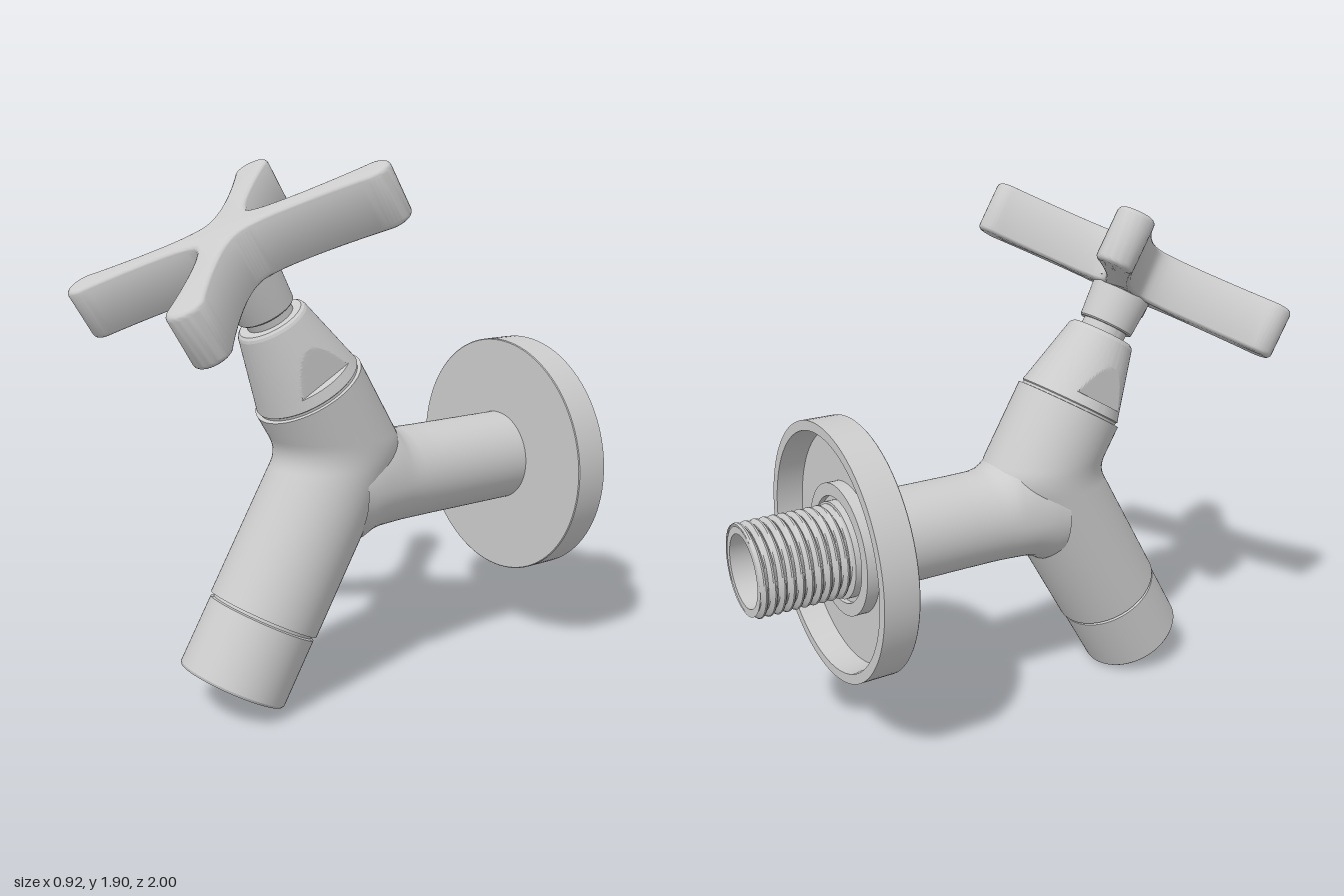
import * as THREE from 'three';
import { toCreasedNormals } from 'three/addons/utils/BufferGeometryUtils.js';

const V = (x, y, z) => new THREE.Vector3(x, y, z);
const material = new THREE.MeshStandardMaterial({ color: 0xcccccc, side: THREE.DoubleSide });
const SEG = 64;
const PIPE_Y = 0.765;
const JOINT = V(0, 0.907, 0.165); // where the spout and bonnet axes cross
const TILT = Math.PI / 6;

function part(name, geometry, crease = 0.5) {
  const mesh = new THREE.Mesh(toCreasedNormals(geometry, crease), material);
  mesh.name = name;
  return mesh;
}

function lathe(name, profile, segments = SEG) {
  return part(name, new THREE.LatheGeometry(profile.map(([r, y]) => new THREE.Vector2(r, y)), segments));
}

// Surface through rings of points; ringAt(i, angle) gives each point
function loft(name, count, ringAt, crease) {
  const pos = [], index = [], row = SEG + 1;
  for (let i = 0; i < count; i++) {
    for (let j = 0; j <= SEG; j++) pos.push(...ringAt(i, ((j % SEG) / SEG) * Math.PI * 2).toArray());
  }
  for (let i = 0; i < count - 1; i++) {
    for (let j = 0; j < SEG; j++) {
      const a = i * row + j, b = a + row;
      index.push(a, a + 1, b, b, a + 1, b + 1);
    }
  }
  const g = new THREE.BufferGeometry();
  g.setAttribute('position', new THREE.Float32BufferAttribute(pos, 3));
  g.setIndex(index);
  return part(name, g, crease);
}

// Bent body: two mitred barrels with a softened bend
function makeBody() {
  const r = 0.204, c = Math.cos(TILT), s = Math.sin(TILT);
  const down = V(0, -c, s), up = V(0, c, s);
  const end = (dir, len, a) => JOINT.clone().addScaledVector(dir, len)
    .add(V(r * Math.sin(a), -Math.sign(dir.y) * s * r * Math.cos(a), c * r * Math.cos(a)));
  const bend = 8;
  return loft('body', bend + 3, (i, a) => {
    if (i === 0) return end(down, 0.655, a);
    if (i === bend + 2) return end(up, 0.263, a);
    const mitre = JOINT.clone().add(V(r * Math.sin(a), 0, (r * Math.cos(a)) / c));
    const p = mitre.clone().addScaledVector(down, 0.06), q = mitre.clone().addScaledVector(up, 0.06);
    return new THREE.QuadraticBezierCurve3(p, mitre, q).getPoint((i - 1) / bend);
  }, 0.7);
}

// Wall pipe, flaring into the body: [z, half width, upper radius, lower radius]
function makePipe() {
  const rings = [
    [-0.6, 0.172, 0.172, 0.172], [-0.2, 0.172, 0.172, 0.172], [-0.1, 0.176, 0.173, 0.172],
    [-0.06, 0.179, 0.181, 0.172], [-0.03, 0.182, 0.2, 0.173], [0, 0.186, 0.23, 0.174],
    [0.06, 0.193, 0.24, 0.177], [0.1, 0.198, 0.24, 0.187], [0.14, 0.201, 0.24, 0.21], [0.18, 0.203, 0.2, 0.21],
  ];
  return loft('wallPipe', rings.length, (i, a) => {
    const [z, w, top, low] = rings[i], k = Math.cos(a);
    return V(w * Math.sin(a), PIPE_Y + k * (k > 0 ? top : low), z);
  }, 0.8);
}

// Helical outside thread with a hollow bore
function makeThread() {
  const pitch = 0.032, z0 = -0.66, z1 = -1, n = 64;
  return loft('wallThread', n + 1, (i, a) => {
    const z = z0 + ((z1 - z0) * i) / n;
    const t = z / pitch + a / (Math.PI * 2), tri = Math.abs((t - Math.floor(t)) * 2 - 1);
    const r = 0.145 + 0.02 * Math.min(1, tri * 1.3);
    return V(r * Math.sin(a), PIPE_Y + r * Math.cos(a), z);
  });
}

// Cross handle outline: one arm repeated four times
function makeHandle() {
  const flank = new THREE.CubicBezierCurve(
    new THREE.Vector2(0.12, 0), new THREE.Vector2(0.12, 0.07),
    new THREE.Vector2(0.29, 0.225), new THREE.Vector2(0.418, 0.326)).getPoints(18);
  const tip = new THREE.EllipseCurve(0.375, 0.375, 0.066, 0.066, -0.85, Math.PI / 2 + 0.85).getPoints(16);
  const back = flank.slice(1).reverse().map((p) => new THREE.Vector2(p.y, p.x));
  const arm = [...flank.slice(0, -1), ...tip, ...back.slice(1)];
  const outline = [];
  for (let k = 0; k < 4; k++) {
    for (const p of arm) outline.push(p.clone().rotateAround(new THREE.Vector2(), (k * Math.PI) / 2));
  }
  const g = new THREE.ExtrudeGeometry(new THREE.Shape(outline), {
    depth: 0.154, bevelThickness: 0.018, bevelSize: 0.018, bevelOffset: -0.018, bevelSegments: 4,
  });
  g.rotateX(-Math.PI / 2).translate(0, 0.738, 0);
  return part('crossHandle', g, 0.6);
}

// Tapered bonnet with a flat cut on each side
function makeBonnet() {
  const radius = (s) => 0.195 - 0.25 * (s - 0.275);
  const profile = [[0.204, 0.263], [0.19, 0.264], [0.19, 0.273], [0.195, 0.277], [radius(0.314), 0.314]];
  for (let i = 0; i <= 24; i++) {
    const s = 0.315 + (0.225 * i) / 24;
    profile.push([radius(s), s]);
  }
  profile.push([0.124, 0.549], [0.115, 0.556], [0, 0.556]);
  const g = new THREE.LatheGeometry(profile.map(([r, y]) => new THREE.Vector2(r, y)), 128);
  const p = g.attributes.position;
  for (let i = 0; i < p.count; i++) {
    if (p.getY(i) > 0.3145) p.setX(i, THREE.MathUtils.clamp(p.getX(i), -0.152, 0.152));
  }
  return part('bonnet', g, 0.2);
}

export function createModel() {
  const model = new THREE.Group();
  model.name = 'wallTap';
  model.add(makeBody(), makePipe(), makeThread());

  // Parts turned around the wall pipe axis, profile running towards the wall
  const wall = new THREE.Group();
  wall.name = 'wallFitting';
  wall.position.y = PIPE_Y;
  wall.rotation.x = -Math.PI / 2;
  wall.add(
    lathe('wallFlange', [
      [0.165, 0.582], [0.457, 0.582], [0.46, 0.585], [0.46, 0.71], [0.425, 0.71], [0.415, 0.615],
      [0.235, 0.615], [0.235, 0.66], [0.19, 0.66], [0.19, 0.64], [0.165, 0.64],
    ], 96),
    lathe('pipeShoulder', [[0.172, 0.58], [0.172, 0.672], [0.14, 0.678]]),
    lathe('pipeBore', [[0.153, 1], [0.128, 1], [0.128, 0.65], [0, 0.65]]),
  );

  // Spout collar with an inside thread
  const spout = new THREE.Group();
  spout.name = 'spout';
  spout.position.copy(JOINT);
  spout.rotation.x = Math.PI - TILT;
  const mouth = [
    [0.204, 0.655], [0.188, 0.656], [0.188, 0.666], [0.199, 0.67], [0.199, 0.917], [0.193, 0.926],
    [0.17, 0.926], [0.165, 0.92], [0.165, 0.85],
  ];
  for (let i = 0; i < 6; i++) mouth.push([0.145, 0.845 - i * 0.025], [0.158, 0.833 - i * 0.025]);
  mouth.push([0.12, 0.69], [0, 0.69]);
  spout.add(lathe('spoutCollar', mouth));

  // Bonnet, stem and handle along the tilted valve axis
  const valve = new THREE.Group();
  valve.name = 'valve';
  valve.position.copy(JOINT);
  valve.rotation.x = TILT;
  const screw = part('setScrew', new THREE.CylinderGeometry(0.022, 0.022, 0.03, 24).rotateX(Math.PI / 2));
  screw.position.set(0, 0.765, -0.107);
  valve.add(
    makeBonnet(),
    lathe('stem', [[0.085, 0.54], [0.085, 0.59]]),
    lathe('handleHub', [[0, 0.585], [0.098, 0.585], [0.103, 0.59], [0.113, 0.73], [0.113, 0.76]]),
    makeHandle(),
    screw,
  );

  model.add(wall, spout, valve);
  return model;
}
